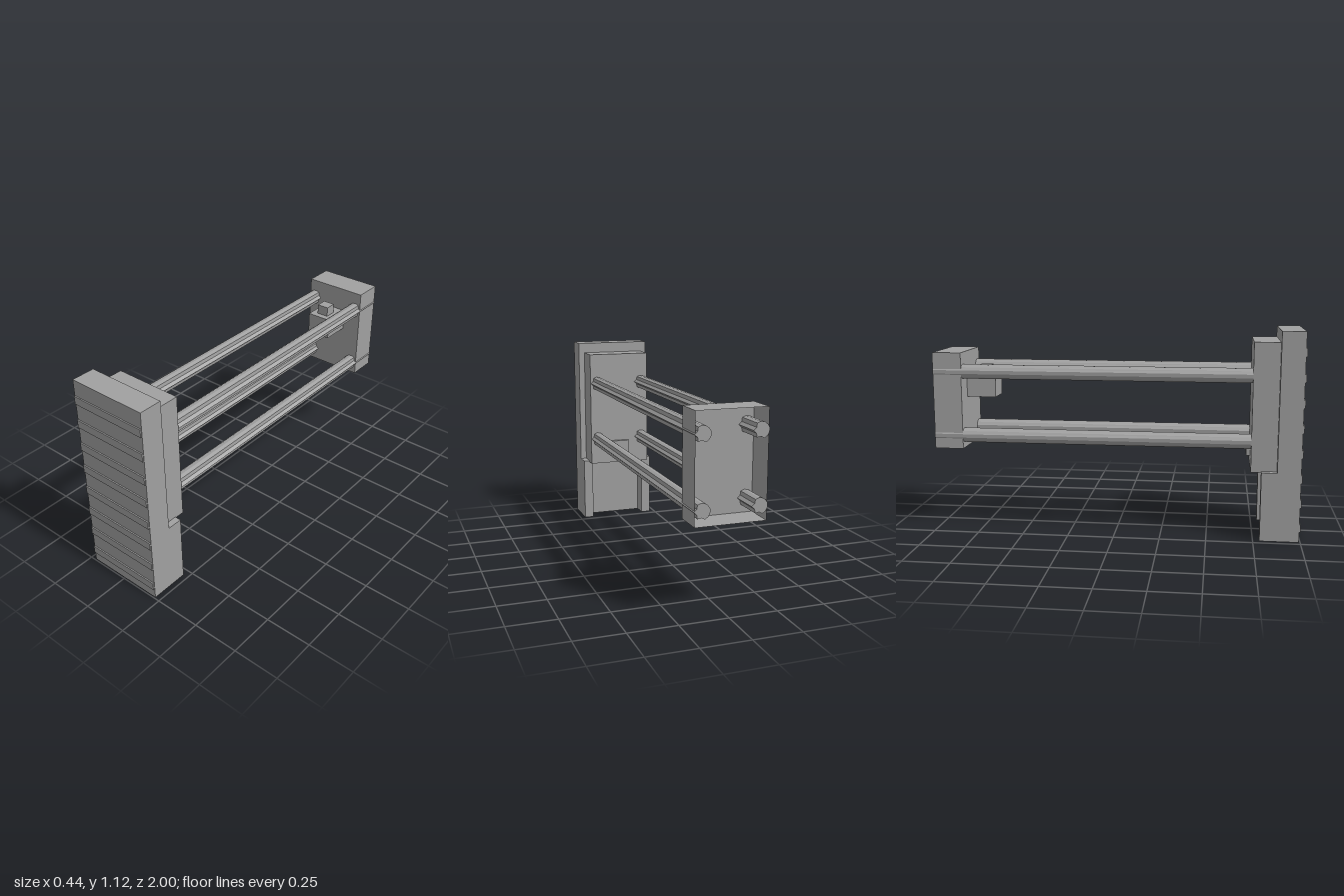
import * as THREE from 'three';

const grey = new THREE.MeshStandardMaterial({ color: 0xa0a0a0 });
const sheetGrey = new THREE.MeshStandardMaterial({ color: 0xa0a0a0, side: THREE.DoubleSide });

// Box given by its limits on each axis
function block(name, [x0, x1], [y0, y1], [z0, z1]) {
  const mesh = new THREE.Mesh(new THREE.BoxGeometry(x1 - x0, y1 - y0, z1 - z0), grey);
  mesh.position.set((x0 + x1) / 2, (y0 + y1) / 2, (z0 + z1) / 2);
  mesh.name = name;
  return mesh;
}

export function createModel() {
  const model = new THREE.Group();
  model.name = 'railFrame';

  // Front panel with raised slats
  model.add(block('frontPanel', [-0.22, 0.22], [0, 1.12], [0.868, 0.993]));
  for (let i = 0; i < 8; i++) {
    const y = 0.055 + i * 0.1336;
    model.add(block('slat', [-0.217, 0.217], [y, y + 0.043], [0.992, 1]));
  }

  // Side flanges on the lower back of the panel
  for (const s of [-1, 1]) {
    const flange = block('flange', [-0.0275, 0.0275], [0, 0.375], [0.785, 0.869]);
    flange.position.x = s * 0.1925;
    model.add(flange);
  }

  // Housing behind the panel, with a small tab
  model.add(block('housing', [-0.185, 0.185], [0.368, 1.06], [0.73, 0.869]));
  model.add(block('tab', [-0.055, 0.055], [0.43, 0.51], [0.708, 0.731]));

  // Rear bracket: a thin shell open at the back
  const w = 0.178, y0 = 0.455, y1 = 0.985, z0 = -1, z1 = -0.842;
  const bracket = new THREE.Group();
  bracket.name = 'rearBracket';
  const sheet = (name, width, height, position, rx, ry) => {
    const mesh = new THREE.Mesh(new THREE.PlaneGeometry(width, height), sheetGrey);
    mesh.position.set(...position);
    mesh.rotation.set(rx, ry, 0);
    mesh.name = name;
    bracket.add(mesh);
  };
  const ym = (y0 + y1) / 2, zm = (z0 + z1) / 2, depth = z1 - z0, q = Math.PI / 2;
  sheet('bracketFront', 2 * w, y1 - y0, [0, ym, z1], 0, 0);
  sheet('bracketTop', 2 * w, depth, [0, y1, zm], -q, 0);
  sheet('bracketBottom', 2 * w, depth, [0, y0, zm], q, 0);
  sheet('bracketLeft', depth, y1 - y0, [w, ym, zm], 0, q);
  sheet('bracketRight', depth, y1 - y0, [-w, ym, zm], 0, -q);
  model.add(bracket);

  // Block and button carried on the bracket
  model.add(block('carrierBlock', [-0.07, 0.07], [0.73, 0.85], [-0.68, -0.842].reverse()));
  model.add(block('button', [-0.034, 0.034], [0.85, 0.905], [-0.78, -0.715]));

  // Four faceted rods with shallow grooves along one side
  const radii = [0.041, 0.029, 0.04, 0.04, 0.04, 0.04, 0.041, 0.04, 0.04, 0.04, 0.029, 0.04, 0.029];
  const profile = new THREE.Shape(radii.map((r, i) => {
    const a = (i / radii.length) * Math.PI * 2;
    return new THREE.Vector2(r * Math.cos(a), r * Math.sin(a));
  }));
  const rodGeometry = new THREE.ExtrudeGeometry(profile, { depth: 1.735, bevelEnabled: false });
  for (const x of [-0.142, 0.142]) {
    for (const y of [0.527, 0.88]) {
      const rod = new THREE.Mesh(rodGeometry, grey);
      rod.position.set(x, y, -1);
      rod.name = 'rod';
      model.add(rod);
    }
  }
  return model;
}
